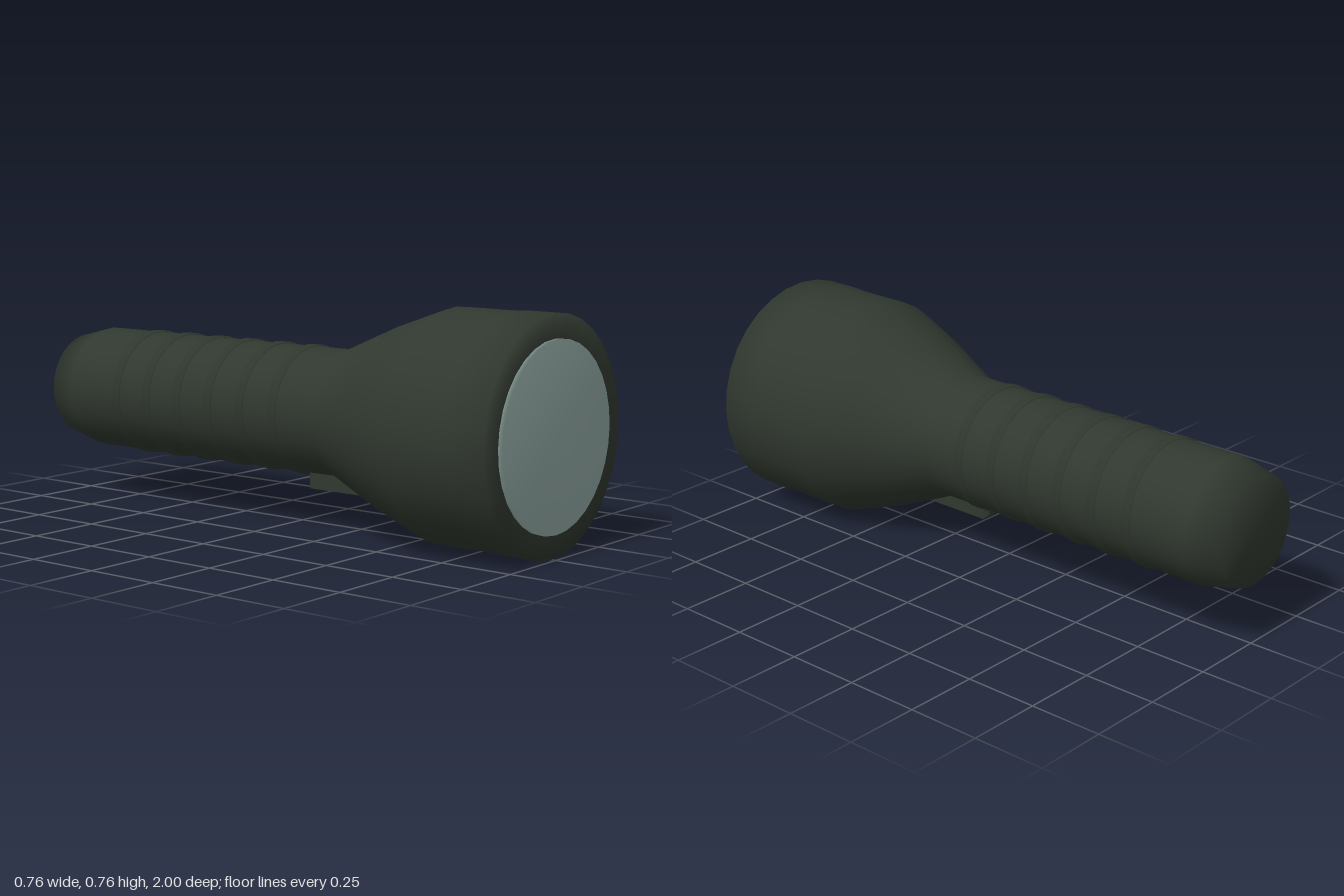
import * as THREE from 'three';

const SIDES = 32;
const AXIS_Y = 0.38;

export function createModel() {
  const model = new THREE.Group();
  model.name = 'flashlight';

  const casing = new THREE.MeshStandardMaterial({ color: 0x30382f });
  casing.name = 'dark green casing';
  const glass = new THREE.MeshStandardMaterial({ color: 0x8fa6a1 });
  glass.name = 'pale lens';

  // Turned part along z; profile is [radius, z] from back to front
  function turned(name, profile, material) {
    const points = profile.map(([r, z]) => new THREE.Vector2(r, z));
    const geometry = new THREE.LatheGeometry(points, SIDES);
    geometry.rotateX(Math.PI / 2);
    const mesh = new THREE.Mesh(geometry, material);
    mesh.name = name;
    mesh.position.y = AXIS_Y;
    model.add(mesh);
  }

  // Handle flaring into the head
  turned('body', [
    [0, -1], [0.18, -1], [0.21, -0.88], [0.21, 0.2],
    [0.313, 0.44], [0.377, 0.62], [0.377, 0.9],
  ], casing);

  // Front bezel and lens
  turned('bezel', [[0.36, 0.86], [0.38, 0.86], [0.38, 0.985], [0.29, 0.985]], casing);
  turned('lens', [[0.302, 0.97], [0.302, 1], [0, 1]], glass);

  // Grip rings
  for (let i = 0; i < 6; i++) {
    const z = 0.04 - i * 0.14;
    turned('gripRing', [
      [0.2, z - 0.016], [0.216, z - 0.016], [0.216, z + 0.016], [0.2, z + 0.016],
    ], casing);
  }

  // Switch under the neck, with chamfered edges
  const outline = new THREE.Shape([
    new THREE.Vector2(-0.035, 0.137), new THREE.Vector2(0.035, 0.137),
    new THREE.Vector2(0.035, 0.24), new THREE.Vector2(-0.035, 0.24),
  ]);
  const switchGeometry = new THREE.ExtrudeGeometry(outline, {
    depth: 0.25, bevelEnabled: true, bevelSize: 0.014, bevelThickness: 0.014, bevelSegments: 1,
  });
  const slider = new THREE.Mesh(switchGeometry, casing);
  slider.name = 'switch';
  slider.position.z = 0.074;
  model.add(slider);

  return model;
}
